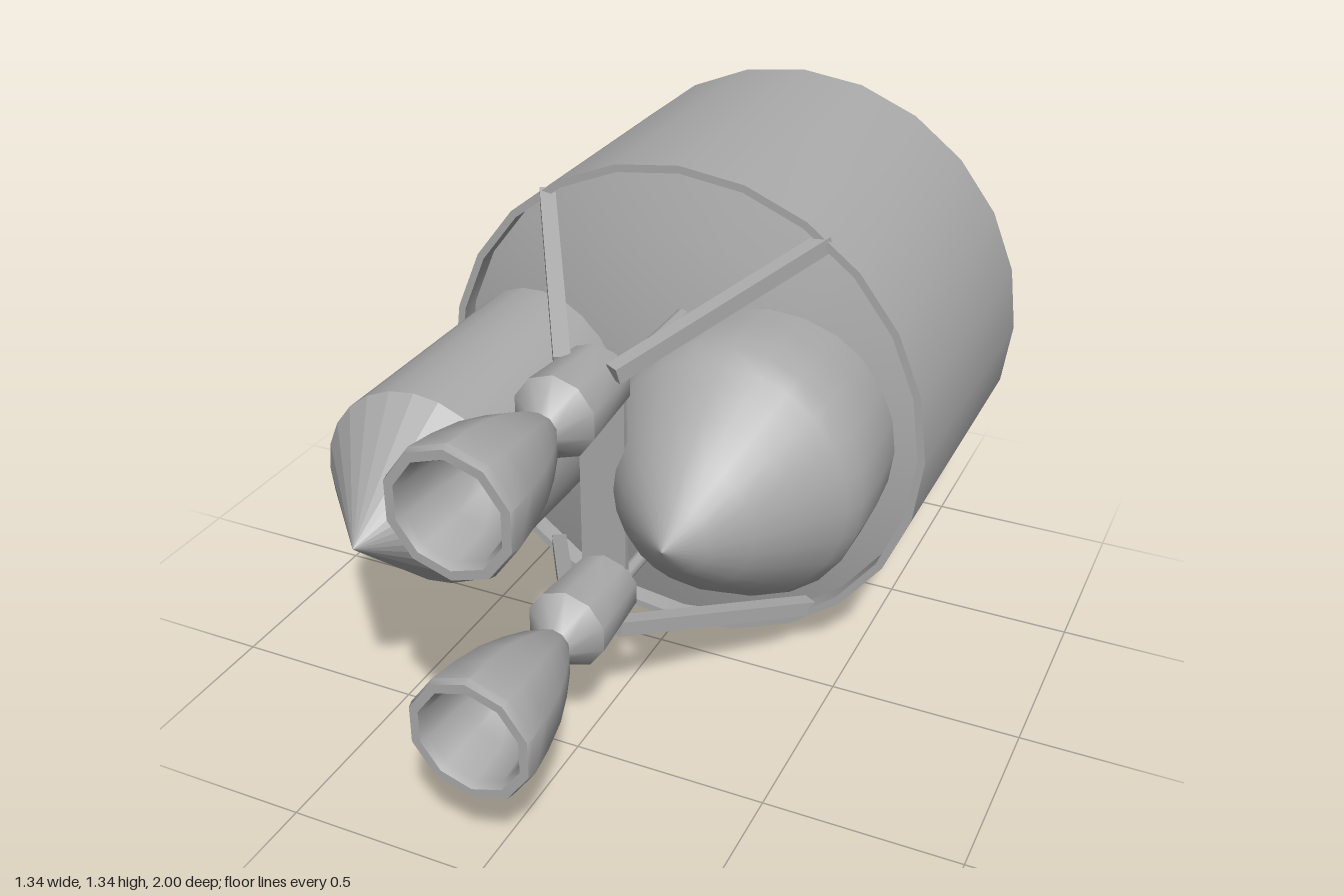
import * as THREE from 'three';
import { toCreasedNormals } from 'three/addons/utils/BufferGeometryUtils.js';

const MID = 0.672; // height of the main axis

export function createModel() {
  const model = new THREE.Group();
  const grey = new THREE.MeshStandardMaterial({ color: 0xaaaaaa });
  grey.name = 'plainGrey';

  const add = (geometry, name, parent = model) => {
    const mesh = new THREE.Mesh(geometry, grey);
    mesh.name = name;
    parent.add(mesh);
    return mesh;
  };

  // Solid of revolution along z; profile of [radius, z] runs back to front on the outside
  const turned = (profile, sides, name, x, y, crease = 0.6, parent = model) => {
    const points = profile.map(([r, z]) => new THREE.Vector2(r, z));
    const geometry = new THREE.LatheGeometry(points, sides).rotateX(Math.PI / 2);
    const mesh = add(toCreasedNormals(geometry, crease), name, parent);
    mesh.position.set(x, y, 0);
    return mesh;
  };

  // Square bar between two points
  const bar = (a, b, size, name) => {
    const mesh = add(new THREE.BoxGeometry(size, size, a.distanceTo(b)), name);
    mesh.position.copy(a).add(b).multiplyScalar(0.5);
    mesh.lookAt(b);
    return mesh;
  };

  // Main barrel with recessed, domed ends
  turned([
    [0, -1], [0.16, -0.995], [0.32, -0.98], [0.48, -0.954], [0.65, -0.915],
    [0.65, -0.96], [0.67, -0.96], [0.67, -0.1], [0.65, -0.1],
    [0.65, -0.155], [0.48, -0.105], [0.32, -0.069], [0.16, -0.047], [0, -0.04],
  ], 24, 'mainBarrel', 0, MID);

  // Large tank with a curved nose
  turned([
    [0, -0.12], [0.335, -0.12], [0.345, 0], [0.345, 0.15], [0.32, 0.195],
    [0.285, 0.245], [0.235, 0.32], [0.17, 0.4], [0.09, 0.475], [0, 0.54],
  ], 24, 'largeTank', 0.25, MID + 0.003);

  // Slim tank with a faceted cone
  turned([[0, -0.14], [0.26, -0.14], [0.26, 0.53]], 24, 'slimTank', -0.39, MID + 0.003);
  turned([[0.26, 0.53], [0, 0.82]], 24, 'slimTankCone', -0.39, MID + 0.003, 0.02);

  // Plate joining the two engines
  add(new THREE.BoxGeometry(0.12, 0.57, 0.015), 'enginePlate').position.set(0, 0.675, 0.33);

  // Engines, each with a feed pipe and two struts
  for (const side of [1, -1]) {
    const x = side > 0 ? -0.013 : 0;
    const y = side > 0 ? 0.963 : 0.389;
    const engine = new THREE.Group();
    engine.name = side > 0 ? 'upperEngine' : 'lowerEngine';
    model.add(engine);
    turned([
      [0, 0.33], [0.09, 0.33], [0.105, 0.54], [0.042, 0.61],
    ], 10, 'engineBody', x, y, 0.7, engine);
    turned([
      [0.042, 0.605], [0.075, 0.66], [0.105, 0.73], [0.132, 0.81], [0.15, 0.9],
      [0.16, 0.98], [0.155, 1], [0.132, 1], [0.122, 0.98], [0.11, 0.86],
      [0.075, 0.74], [0, 0.63],
    ], 10, 'nozzle', x, y, 0.7, engine);

    const pipe = new THREE.CylinderGeometry(0.018, 0.018, 0.4, 8).rotateX(Math.PI / 2);
    add(pipe, 'feedPipe', engine).position.set(0.027, y, 0.13);

    for (const s of [1, -1]) {
      bar(
        new THREE.Vector3(s * 0.378, 0.675 + side * 0.527, -0.125),
        new THREE.Vector3(s * 0.065, 0.675 + side * 0.348, 0.4),
        0.04, 'strut',
      );
    }
  }
  return model;
}
